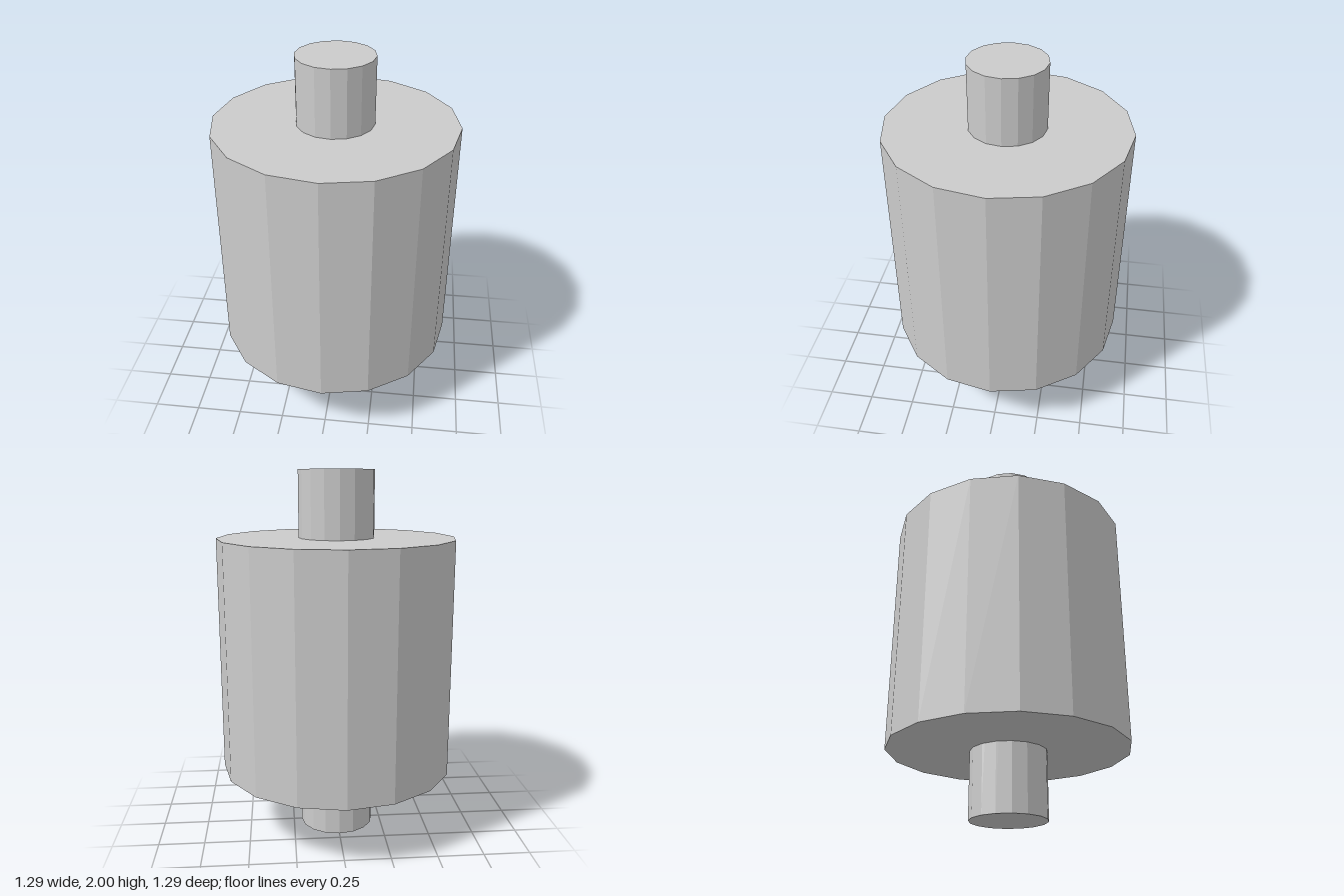
import * as THREE from 'three';

const SIDES = 16;

export function createModel() {
  const group = new THREE.Group();
  const material = new THREE.MeshStandardMaterial({ color: 0xcccccc, flatShading: true });

  // Upright faceted cylinder between two heights
  function addCylinder(name, radius, bottom, top) {
    const geometry = new THREE.CylinderGeometry(radius, radius, top - bottom, SIDES);
    const mesh = new THREE.Mesh(geometry, material);
    mesh.name = name;
    mesh.position.y = (bottom + top) / 2;
    group.add(mesh);
  }

  // Wide drum in the middle
  addCylinder('drum', 0.643, 0.357, 1.643);

  // Thin axle running through the drum, showing at both ends
  addCylinder('axle', 0.204, 0, 2);

  return group;
}
